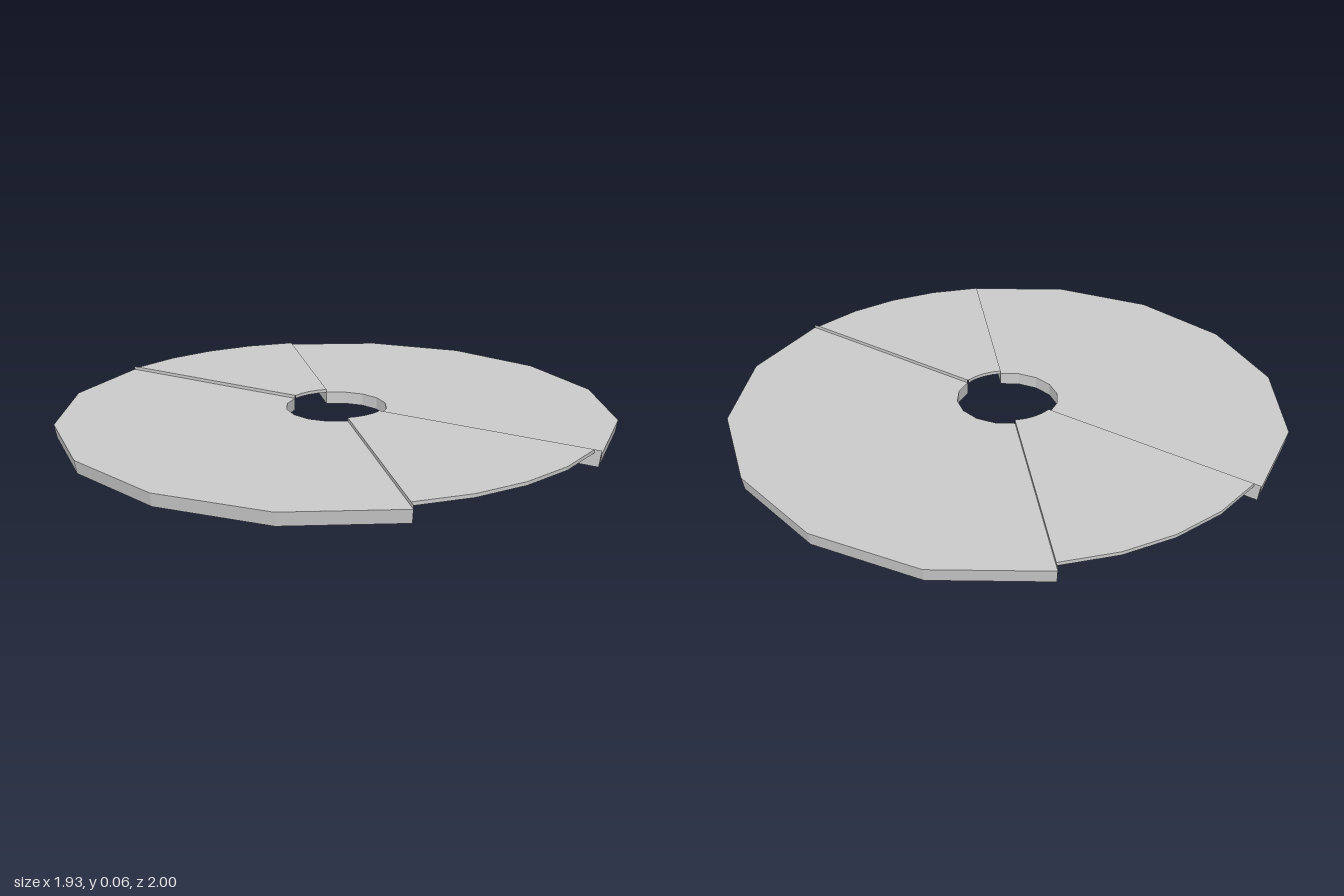
import * as THREE from 'three';

const rad = THREE.MathUtils.degToRad;
const SEAM = 22.9; // angle of the radial seams from the x axis
const RIM_TAPER = 0.993; // lower rim of the thick sectors sits slightly inward

const material = new THREE.MeshStandardMaterial({
  color: 0xcccccc, flatShading: true, side: THREE.DoubleSide,
});

// Point on the disc at an angle, radius and height
const at = (a, r, y) => [r * Math.cos(rad(a)), y, -r * Math.sin(rad(a))];

// Flat-shaded sheet made of quads, corners counter-clockwise seen from the front
function sheet(name, quads) {
  const points = quads.flatMap(([a, b, c, d]) => [a, b, c, a, c, d].flat());
  const geo = new THREE.BufferGeometry();
  geo.setAttribute('position', new THREE.Float32BufferAttribute(points, 3));
  geo.computeVertexNormals();
  const mesh = new THREE.Mesh(geo, material);
  mesh.name = name;
  return mesh;
}

// Sector plate with an outer and inner skirt, open underneath; stops are [angle, radius]
function sector(name, stops, hole, bottom, top, taper) {
  const plate = [], rim = [], bore = [];
  for (let i = 0; i + 1 < stops.length; i++) {
    const [a0, r0] = stops[i], [a1, r1] = stops[i + 1];
    plate.push([at(a0, hole, top), at(a0, r0, top), at(a1, r1, top), at(a1, hole, top)]);
    rim.push([at(a0, r0 * taper, bottom), at(a1, r1 * taper, bottom), at(a1, r1, top), at(a0, r0, top)]);
    bore.push([at(a1, hole, bottom), at(a0, hole, bottom), at(a0, hole, top), at(a1, hole, top)]);
  }
  const part = new THREE.Group();
  part.name = name;
  part.add(sheet('plate', plate), sheet('outerSkirt', rim), sheet('boreSkirt', bore));
  return part;
}

export function createModel() {
  const group = new THREE.Group();
  group.name = 'segmentedDisc';

  // Thick front and back sectors
  const thick = [[SEAM, 0.988]];
  for (let a = 45; a <= 135; a += 22.5) thick.push([a, 1]);
  thick.push([180 - SEAM, 0.988]);

  // Thin raised side sectors
  const thin = [-SEAM, -11.25, 0, 11.25, SEAM].map((a) => [a, 0.964]);

  // Radial walls at the seams, rising to the raised sectors
  const wall = (a) => [
    at(a, 0.184, 0), at(a, 0.988 * RIM_TAPER, 0), at(a, 0.988, 0.057), at(a, 0.184, 0.057),
  ];

  ['back', 'front'].forEach((side, i) => {
    const part = sector(side + 'ThickSector', thick, 0.184, 0, 0.045, RIM_TAPER);
    part.add(sheet('seamWalls', [wall(SEAM), wall(180 - SEAM).reverse()]));
    part.rotation.y = i * Math.PI;
    group.add(part);
  });
  ['left', 'right'].forEach((side, i) => {
    const part = sector(side + 'ThinSector', thin, 0.181, 0.045, 0.057, 1);
    part.rotation.y = i * Math.PI;
    group.add(part);
  });
  return group;
}
